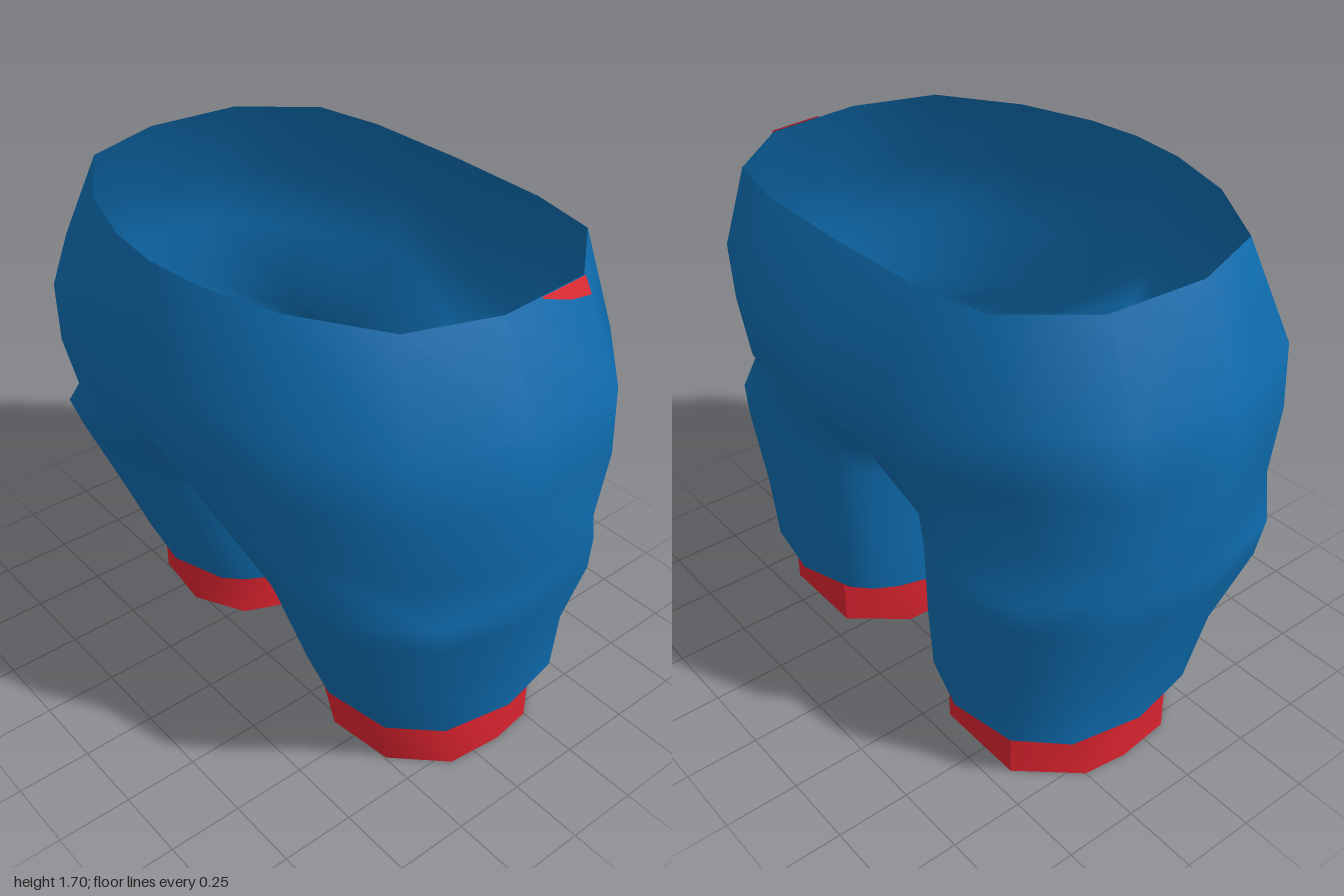
import * as THREE from 'three';
import { mergeVertices, toCreasedNormals } from 'three/addons/utils/BufferGeometryUtils.js';

const V = (x, y, z) => new THREE.Vector3(x, y, z);
const spow = (v, p) => Math.sign(v) * Math.abs(v) ** p;

// Skins rows of points (listed from top to bottom) into triangles; side = -1 mirrors in x.
function skin(out, rows, closed, side) {
  for (let r = 0; r < rows.length - 1; r++) {
    const n = rows[r].length;
    for (let c = 0; c < (closed ? n : n - 1); c++) {
      const k = (c + 1) % n;
      const a = rows[r][c], b = rows[r][k], d = rows[r + 1][c], e = rows[r + 1][k];
      const tris = side > 0 ? [a, d, e, a, e, b] : [a, e, d, a, b, e];
      for (const p of tris) out.push(p.x * side, p.y, p.z);
    }
  }
}

function toGeometry(positions) {
  const g = new THREE.BufferGeometry();
  g.setAttribute('position', new THREE.Float32BufferAttribute(positions, 3));
  return g;
}

function smooth(positions) {
  const g = mergeVertices(toGeometry(positions), 1e-4);
  g.computeVertexNormals();
  return g;
}

// Half outlines [x, z] from front centre round the left side to back centre
const WAIST = [[0, .61], [.2, .59], [.46, .51], [.73, .34], [.825, .06], [.8, -.27], [.61, -.5], [.37, -.55], [0, -.56]];
const HIPS = [[0, .705], [.22, .69], [.58, .62], [.88, .4], [1, .06], [.97, -.29], [.73, -.53], [.37, -.685], [0, -.705]];
// Crotch seam [y, z] from back to front
const SEAM = [[1.02, -.48], [.93, -.37], [.885, -.22], [.88, -.06], [.89, .12], [.93, .3], [1.01, .47]];

const hipRing = (y, sx, front, back) =>
  HIPS.map(([x, z]) => V(x * sx, y, z * (z > 0 ? front : back)));

// Leg loop fitted in a box: eight steps round the outside, eight along the inner thigh
function legRing(y, x0, x1, z0, z1) {
  return Array.from({ length: 16 }, (_, c) => {
    const deg = c <= 8 ? 125 - 31.25 * c : -125 - 13.75 * (c - 8);
    const a = deg * Math.PI / 180;
    return V((x0 + x1) / 2 + (x1 - x0) / 2 * spow(Math.cos(a), .85), y,
      (z0 + z1) / 2 + (z1 - z0) / 2 * spow(Math.sin(a), .85));
  });
}

// Cuff outline [x, z] in the same order
const CUFF = [[.41, .275], [.64, .245], [.79, .09], [.81, -.1], [.79, -.25], [.63, -.43], [.31, -.43], [.16, -.25], [.15, 0], [.23, .18]];

export function createModel() {
  const blue = new THREE.MeshStandardMaterial({ color: 0x0e6bad, side: THREE.DoubleSide });
  blue.name = 'blue cloth';
  const red = new THREE.MeshStandardMaterial({ color: 0xd9232e, side: THREE.DoubleSide });
  red.name = 'red cuff';

  const model = new THREE.Group();
  model.name = 'shorts';
  const add = (name, geometry, material) => {
    const mesh = new THREE.Mesh(geometry, material);
    mesh.name = name;
    model.add(mesh);
  };

  // Hips from the open waist down to where the legs part
  const split = hipRing(.95, .995, .9, .82);
  split[0].y = split[8].y = 1.09;
  split[1].y = split[7].y = 1.01;
  const waist = WAIST.map(([x, z]) => V(x, 1.69 + .012 * z, z));
  const wide = hipRing(1.39, .98, 1, 1);
  const hips = [waist, wide, hipRing(1.18, 1, .985, .965), split];

  // Legs start at the split ring closed by the crotch seam
  const hem = legRing(.2, .105, .855, -.51, .33);
  const legs = [
    [...split, ...SEAM.map(([y, z]) => V(0, y, z))],
    legRing(.82, .055, .98, -.56, .575),
    legRing(.7, .075, .97, -.55, .53),
    legRing(.43, .09, .88, -.53, .425),
    hem,
  ];

  const body = [];
  for (const side of [1, -1]) {
    skin(body, hips, false, side);
    skin(body, legs, true, side);
  }
  add('shortsShell', smooth(body), blue);

  // Hem lips turning in towards the cuffs, then the cuffs with a pierced floor
  const loop = (y) => CUFF.map(([x, z]) => V(x, y, z));
  const hole = CUFF.map(([x, z]) => {
    const a = Math.atan2(z + .08, x - .48);
    return V(.48 + .1 * Math.cos(a), 0, -.085 + .115 * Math.sin(a));
  });
  for (const [side, label] of [[1, 'left'], [-1, 'right']]) {
    const lip = [], cuff = [];
    skin(lip, [hem, legRing(.18, .145, .815, -.44, .28)], true, side);
    add(label + 'HemLip', smooth(lip), blue);
    skin(cuff, [loop(.19), loop(0), hole], true, side);
    add(label + 'Cuff', toCreasedNormals(toGeometry(cuff), .7), red);
  }

  // Small red tab at the left of the waist, lying on the shell
  const on = (c, v) => {
    const i = Math.min(Math.floor(c), 7);
    const p = waist[i].clone().lerp(waist[i + 1], c - i);
    const q = wide[i].clone().lerp(wide[i + 1], c - i);
    return p.lerp(q, v).add(V(.006, .002, 0));
  };
  const tab = [];
  skin(tab, [[on(4.42, 0), on(4.75, 0), on(5, 0)], [on(4.45, .02), on(4.75, .13), on(5, .17)]], false, 1);
  add('waistTab', smooth(tab), red);

  return model;
}
